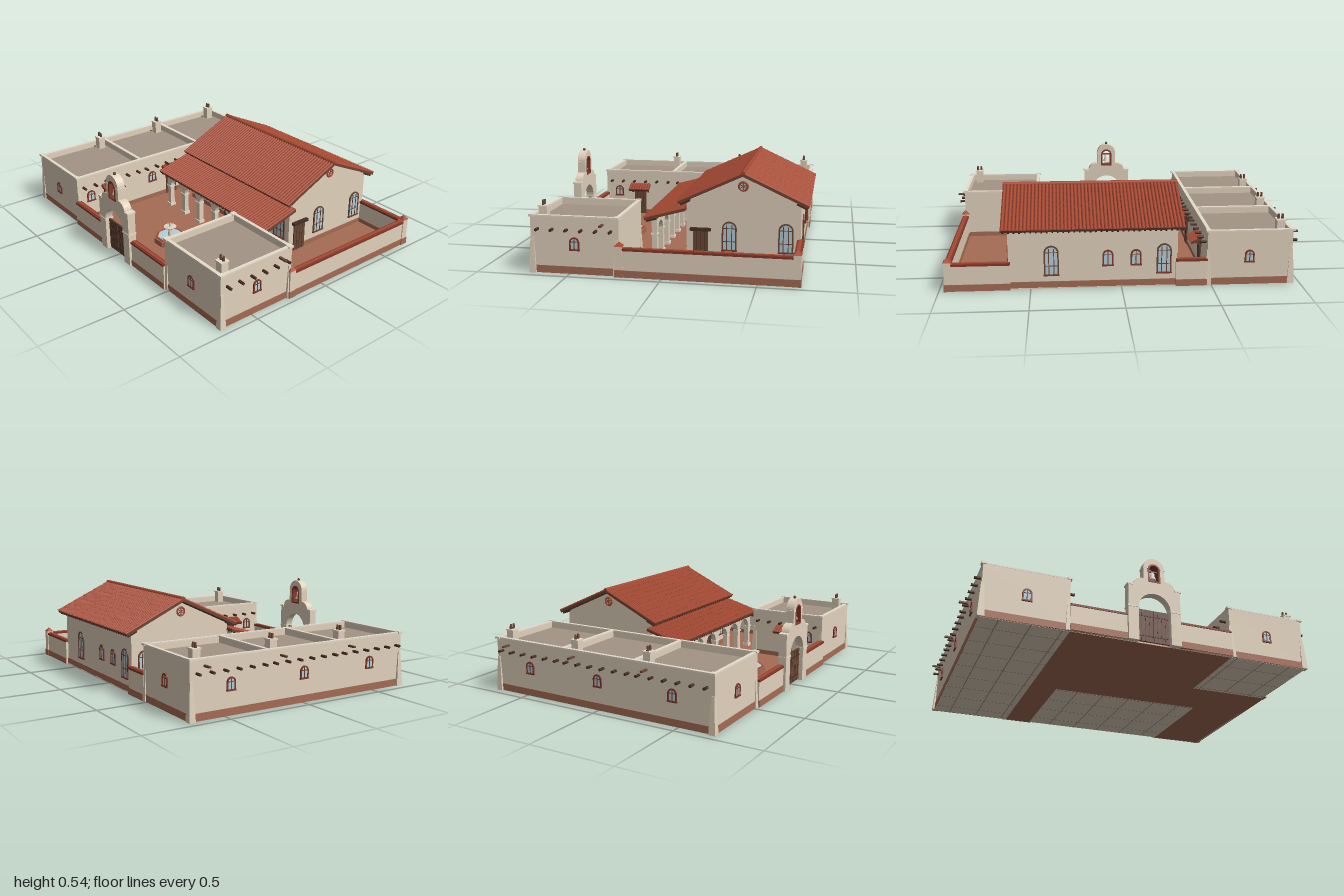
import * as THREE from 'three';
import { mergeGeometries } from 'three/addons/utils/BufferGeometryUtils.js';

const paint = (name, color, side = THREE.FrontSide) => {
  const m = new THREE.MeshStandardMaterial({ color, side });
  m.name = name;
  return m;
};

export function createModel() {
  const stucco = paint('stucco', 0xe2d3bd), pale = paint('pale coping', 0xe8dece);
  const flatRoof = paint('flat roof', 0xa39585), paving = paint('terracotta paving', 0xa66c54);
  const tile = paint('roof tile', 0xa64a33, THREE.DoubleSide), tileDark = paint('dark tile', 0x84382a);
  const wood = paint('wood', 0x6b4837), woodDark = paint('dark wood', 0x482f25);
  const glass = paint('pale blue glass', 0xb6d0da);
  const root = new THREE.Group();
  root.name = 'courtyardMission';

  const group = (parent, name, x = 0, y = 0, z = 0, ry = 0) => {
    const g = new THREE.Group();
    g.name = name;
    g.position.set(x, y, z);
    g.rotation.y = ry;
    parent.add(g);
    return g;
  };
  const add = (parent, name, geo, mat, x = 0, y = 0, z = 0) => {
    const m = new THREE.Mesh(geo, mat);
    m.name = name;
    m.position.set(x, y, z);
    parent.add(m);
    return m;
  };
  // Box placed by the middle of its underside
  const box = (parent, name, mat, w, h, d, x, y, z) =>
    add(parent, name, new THREE.BoxGeometry(w, h, d), mat, x, y + h / 2, z);
  const faceted = (geo) => {
    const g = geo.toNonIndexed();
    g.computeVertexNormals();
    return g;
  };
  const extrude = (shape, depth) =>
    new THREE.ExtrudeGeometry(shape, { depth, bevelEnabled: false, curveSegments: 10 });
  const archPath = (P, w, h, x = 0, y = 0) => {
    const p = new P();
    p.moveTo(x - w / 2, y);
    p.lineTo(x + w / 2, y);
    p.lineTo(x + w / 2, y + h - w / 2);
    p.absarc(x, y + h - w / 2, w / 2, 0, Math.PI, false);
    p.lineTo(x - w / 2, y);
    return p;
  };
  const rectPath = (P, w, d) => new P([[-1, -1], [1, -1], [1, 1], [-1, 1]]
    .map(([a, b]) => new THREE.Vector2(a * w / 2, b * d / 2)));
  const ring = (w, d, t, h) => {
    const s = rectPath(THREE.Shape, w, d);
    s.holes.push(rectPath(THREE.Path, w - 2 * t, d - 2 * t));
    return extrude(s, h).rotateX(-Math.PI / 2);
  };
  const model = group(root, 'mission', 0, 0.002, 0);

  // Tiled slope: top edge at the origin, falling towards +z
  function slope(parent, name, width, run, drop, x, y, z, ry, pitch = 0.02, course = 0.04) {
    const g = group(group(parent, name, x, y, z, ry), name + 'Pitch');
    g.rotation.x = Math.atan2(drop, run);
    const len = Math.hypot(run, drop), n = Math.round(width / pitch), rows = Math.round(len / course);
    const step = width / n, l = len / rows, parts = [];
    box(g, 'roofBoards', wood, width, 0.01, len, 0, -0.012, len / 2);
    box(g, 'tileBed', tileDark, width, 0.004, len, 0, -0.002, len / 2);
    for (let i = 0; i < n; i++) for (let j = 0; j < rows; j++) {
      const t = new THREE.CylinderGeometry(step * 0.38, step * 0.48, l * 1.1, 5, 1, true, -Math.PI / 2, Math.PI);
      t.rotateX(-Math.PI / 2).translate((i + 0.5) * step - width / 2, 0.002, (j + 0.5) * l);
      parts.push(t);
    }
    add(g, 'tiles', mergeGeometries(parts), tile);
    return { g, len };
  }
  const rafters = ({ g, len }, width, n) => {
    for (let i = 0; i < n; i++)
      box(g, 'rafterTail', woodDark, 0.01, 0.012, 0.06, -width / 2 + width * (i + 0.5) / n, -0.024, len - 0.035);
  };

  // Arched window, facing +z
  function windowUnit(parent, w, h, x, y, z, ry) {
    const g = group(parent, 'window', x, y, z, ry), large = h > 0.1;
    add(g, 'pane', extrude(archPath(THREE.Shape, w, h), 0.004), glass);
    const f = archPath(THREE.Shape, w + 0.012, h + 0.006);
    f.holes.push(archPath(THREE.Path, w - 0.004, h - 0.004, 0, 0.002));
    add(g, 'frame', extrude(f, 0.007), large ? wood : tileDark);
    for (const m of large ? [-w / 5, w / 5] : [0])
      box(g, 'mullion', wood, 0.005, large ? h * 0.93 : h, 0.006, m, 0, 0.003);
    for (const t of large ? [h * 0.3, h - w / 2] : [h - w / 2])
      box(g, 'transom', wood, w, 0.004, 0.006, 0, t, 0.003);
    box(g, 'sill', tileDark, w + 0.016, 0.007, 0.01, 0, -0.007, 0.004);
  }
  function door(parent, w, h, x, z, ry) {
    const g = group(parent, 'door', x, 0.01, z, ry);
    box(g, 'doorLeaf', wood, w, h, 0.008, 0, 0, 0.004);
    for (let i = -1; i < 2; i++) box(g, 'plankGap', woodDark, 0.003, h, 0.0095, i * w / 4, 0, 0.0045);
    box(g, 'lintel', woodDark, w + 0.03, 0.016, 0.024, 0, h, 0.01);
  }

  // Ground, with slab joints and paving also seen from below
  box(model, 'groundSlab', stucco, 1.9, 0.006, 1.41, 0, -0.001, 0);
  for (let i = 0; i < 11; i++) box(model, 'slabJoint', flatRoof, 0.006, 0.002, 1.41, -0.85 + i * 0.17, -0.0015, 0);
  for (let i = 0; i < 8; i++) box(model, 'slabJoint', flatRoof, 1.9, 0.002, 0.006, 0, -0.0015, -0.6 + i * 0.17);
  for (const [x0, x1, z0, z1] of [[-0.472, 0.472, 0.1, 0.705], [0.62, 0.95, -0.705, 0.228],
    [0.472, 0.62, 0.1, 0.228], [-0.472, -0.31, -0.705, 0.1], [-0.31, 0.62, -0.075, 0.1]])
    box(model, 'courtyardPaving', paving, x1 - x0, 0.014, z1 - z0, (x0 + x1) / 2, -0.002, (z0 + z1) / 2);

  // Flat-roofed rooms; inward is the direction of the courtyard along x
  function room(x, z, inward, chimneyZ, spoutZ) {
    const g = group(model, 'room', x, 0, z), w = 0.475, d = 0.484, H = 0.315;
    box(g, 'roomBody', stucco, w - 0.02, 0.27, d - 0.02, 0, 0, 0);
    box(g, 'roofDeck', flatRoof, w - 0.03, 0.006, d - 0.03, 0, 0.268, 0);
    add(g, 'parapet', ring(w, d, 0.017, H - 0.006), stucco);
    add(g, 'coping', ring(w + 0.006, d + 0.002, 0.02, 0.008), pale, 0, H - 0.008, 0);
    add(g, 'baseBand', ring(w + 0.006, d + 0.006, 0.01, 0.04), paving);
    for (let i = 0; i < 6; i++) for (const s of [-1, 1]) {
      const beam = add(g, 'roofBeam', new THREE.CylinderGeometry(0.008, 0.008, 0.05, 8), woodDark,
        s * (w / 2 + 0.01), 0.24, -0.2 + i * 0.08);
      beam.rotation.z = Math.PI / 2;
    }
    box(g, 'waterSpout', wood, 0.07, 0.01, 0.014, -inward * (w / 2 + 0.015), 0.27, spoutZ);
    const c = group(g, 'chimney', -inward * 0.178, 0.27, chimneyZ);
    box(c, 'chimneyStack', stucco, 0.045, 0.085, 0.045, 0, 0, 0);
    box(c, 'chimneyCap', pale, 0.052, 0.008, 0.052, 0, 0.08, 0);
    for (const s of [-1, 1])
      add(c, 'chimneyPot', new THREE.CylinderGeometry(0.006, 0.008, 0.03, 8), wood, s * 0.011, 0.1, 0);
    windowUnit(g, 0.042, 0.06, -inward * w / 2, 0.135, 0, -inward * Math.PI / 2);
    const ry = inward * Math.PI / 2;
    door(g, 0.08, 0.16, inward * w / 2, 0, ry);
    slope(g, 'doorAwning', 0.14, 0.065, 0.03, inward * w / 2, 0.22, 0, ry, 0.018, 0.03);
    for (const s of [-1, 1]) {
      const b = box(g, 'awningBracket', wood, 0.055, 0.008, 0.01, inward * (w / 2 + 0.022), 0.175, s * 0.055);
      b.rotation.z = inward * 0.6;
    }
    windowUnit(g, 0.045, 0.06, inward * w / 2, 0.14, 0.15, ry);
  }
  const buttress = (x, z) => {
    const geo = faceted(new THREE.CylinderGeometry(0.012, 0.027, 0.2, 4));
    add(model, 'buttress', geo.rotateY(Math.PI / 4), stucco, x, 0.1, z);
    box(model, 'cornerCap', pale, 0.03, 0.012, 0.03, x, 0.306, z);
  };
  for (const z of [-0.467, 0, 0.467]) room(-0.712, z, 1, -0.178, -0.155);
  room(0.712, 0.467, -1, 0.183, -0.155);
  for (const x of [-0.945, -0.48]) for (const z of [-0.7, 0.7]) buttress(x, z);
  for (const x of [0.945, 0.48]) for (const z of [0.238, 0.7]) buttress(x, z);
  for (const x of [-0.71, 0.71]) windowUnit(model, 0.042, 0.06, x, 0.135, 0.709, 0);
  windowUnit(model, 0.042, 0.06, -0.71, 0.135, -0.709, Math.PI);

  // Courtyard walls
  function wall(x0, x1, z0, z1) {
    const w = Math.max(x1 - x0, 0.03), d = Math.max(z1 - z0, 0.03), x = (x0 + x1) / 2, z = (z0 + z1) / 2;
    const e = w > d ? [0, 0.008] : [0.008, 0];
    box(model, 'courtyardWall', stucco, w, 0.145, d, x, 0, z);
    box(model, 'wallBase', paving, w + e[0], 0.038, d + e[1], x, 0, z);
    box(model, 'wallTiles', tileDark, w + e[0], 0.012, d + e[1], x, 0.143, z);
    box(model, 'wallRidge', tile, w > d ? w : 0.018, 0.006, w > d ? 0.018 : d, x, 0.153, z);
  }
  wall(-0.475, -0.15, 0.708, 0.708);
  wall(0.15, 0.475, 0.708, 0.708);
  wall(-0.475, -0.3, -0.7, -0.7);
  wall(0.61, 0.95, -0.7, -0.7);
  wall(0.948, 0.948, -0.7, 0.23);
  for (const z of [-0.7, 0.225]) {
    box(model, 'wallPost', stucco, 0.04, 0.165, 0.04, 0.948, 0, z);
    box(model, 'postBase', paving, 0.046, 0.04, 0.046, 0.948, 0, z);
    add(model, 'postCap', faceted(new THREE.CylinderGeometry(0.004, 0.032, 0.022, 4)).rotateY(Math.PI / 4),
      tile, 0.948, 0.176, z);
  }

  // Gabled hall
  const hall = group(model, 'hall');
  const gable = new THREE.Shape([[0.07, 0], [0.7, 0], [0.7, 0.345], [0.385, 0.492], [0.07, 0.345]]
    .map(([a, b]) => new THREE.Vector2(a, b)));
  add(hall, 'hallWalls', extrude(gable, 0.93).rotateY(Math.PI / 2), stucco, -0.31, 0, 0);
  box(hall, 'hallBase', paving, 0.938, 0.04, 0.638, 0.155, 0, -0.385);
  for (const [z, ry] of [[-0.384, 0], [-0.386, Math.PI]])
    rafters(slope(hall, 'hallRoof', 1.0, 0.357, 0.165, 0.155, 0.511, z, ry), 1.0, 34);
  const ridge = add(hall, 'ridgeTiles', new THREE.CylinderGeometry(0.013, 0.013, 1.0, 10), tile, 0.155, 0.514, -0.385);
  ridge.rotation.z = Math.PI / 2;
  const bays = [0, 1, 2, 3, 4, 5].map((i) => -0.235 + i * 0.155);
  for (const i of [0, 1, 3, 5]) windowUnit(hall, 0.08, 0.15, bays[i], 0.085, -0.07, 0);
  for (const i of [2, 4]) door(hall, 0.09, 0.18, bays[i], -0.07, 0);
  for (const i of [0, 4]) windowUnit(hall, 0.07, 0.16, bays[i], 0.08, -0.7, Math.PI);
  for (const i of [1, 2]) windowUnit(hall, 0.048, 0.08, bays[i], 0.13, -0.7, Math.PI);
  for (const [x, s] of [[0.62, 1], [-0.31, -1]]) {
    for (const z of [-0.31, -0.62]) windowUnit(hall, 0.07, 0.155, x, 0.08, z, s * Math.PI / 2);
    const r = group(hall, 'roundWindow', x, 0.44, -0.385, s * Math.PI / 2);
    add(r, 'roundPane', new THREE.CircleGeometry(0.024, 24), glass, 0, 0, 0.003);
    add(r, 'roundFrame', new THREE.TorusGeometry(0.0235, 0.006, 6, 24), tile, 0, 0, 0.002);
    for (let i = 0; i < 3; i++) {
      const spoke = add(r, 'spoke', new THREE.BoxGeometry(0.005, 0.046, 0.005), tile, 0, 0, 0.004);
      spoke.rotation.z = i * Math.PI / 3;
    }
  }
  door(hall, 0.085, 0.175, 0.62, -0.15, Math.PI / 2);

  // Arcaded porch
  const porch = group(model, 'porch');
  const arcade = new THREE.Shape();
  arcade.moveTo(-0.325, 0);
  for (const x of bays) {
    arcade.lineTo(x - 0.061, 0);
    arcade.lineTo(x - 0.061, 0.155);
    arcade.absarc(x, 0.155, 0.061, Math.PI, 0, true);
    arcade.lineTo(x + 0.061, 0);
  }
  [[0.63, 0], [0.63, 0.243], [-0.325, 0.243]].forEach(([x, y]) => arcade.lineTo(x, y));
  add(porch, 'arcade', extrude(arcade, 0.03), stucco, 0, 0, 0.095);
  for (let i = 0; i < 7; i++) {
    box(porch, 'pierBase', pale, 0.042, 0.03, 0.04, -0.3125 + i * 0.155, 0, 0.11);
    box(porch, 'pierCapital', pale, 0.04, 0.01, 0.038, -0.3125 + i * 0.155, 0.148, 0.11);
  }
  rafters(slope(porch, 'porchRoof', 1.035, 0.23, 0.063, 0.1525, 0.313, -0.07, 0), 1.035, 35);
  add(porch, 'lanternChain', new THREE.CylinderGeometry(0.002, 0.002, 0.04, 6), woodDark, bays[2], 0.265, 0.03);
  add(porch, 'lantern', new THREE.CylinderGeometry(0.004, 0.012, 0.028, 6), pale, bays[2], 0.24, 0.03);

  // Entrance gate with bell tower
  const gate = group(model, 'gate', 0, 0, 0.69);
  const g = new THREE.Shape();
  g.moveTo(-0.095, 0);
  g.lineTo(-0.095, 0.2);
  g.absarc(0, 0.2, 0.095, Math.PI, 0, true);
  g.lineTo(0.095, 0);
  g.lineTo(0.155, 0);
  g.lineTo(0.155, 0.335);
  g.lineTo(0.125, 0.335);
  g.quadraticCurveTo(0.12, 0.382, 0.063, 0.385);
  g.lineTo(0.063, 0.457);
  g.absarc(0, 0.457, 0.063, 0, Math.PI, false);
  g.lineTo(-0.063, 0.385);
  g.quadraticCurveTo(-0.12, 0.382, -0.125, 0.335);
  g.lineTo(-0.155, 0.335);
  g.lineTo(-0.155, 0);
  g.holes.push(archPath(THREE.Path, 0.056, 0.1, 0, 0.375));
  add(gate, 'gateWall', extrude(g, 0.048), stucco);
  const trim = archPath(THREE.Shape, 0.074, 0.117, 0, 0.367);
  trim.holes.push(archPath(THREE.Path, 0.054, 0.098, 0, 0.376));
  add(gate, 'bellTrim', extrude(trim, 0.054), tileDark, 0, 0, -0.003);
  for (const s of [-1, 1]) {
    box(gate, 'impost', pale, 0.066, 0.01, 0.054, s * 0.125, 0.195, 0.024);
    box(gate, 'shoulderCoping', pale, 0.036, 0.01, 0.054, s * 0.142, 0.33, 0.024);
    box(gate, 'towerBand', pale, 0.03, 0.006, 0.052, s * 0.052, 0.452, 0.024);
    const leaf = group(gate, 'gateLeaf', s * 0.0475, 0.008, 0.02);
    box(leaf, 'gatePanel', wood, 0.092, 0.192, 0.01, 0, 0, 0);
    for (let i = -1; i < 2; i++) box(leaf, 'gateBoardGap', woodDark, 0.003, 0.192, 0.012, i * 0.023, 0, 0);
    for (const y of [0.03, 0.15]) box(leaf, 'ironStrap', woodDark, 0.088, 0.007, 0.015, 0, y, 0);
  }
  add(gate, 'finial', new THREE.SphereGeometry(0.009, 10, 8), wood, 0, 0.526, 0.024);
  const bell = [[0.001, 0.05], [0.009, 0.047], [0.012, 0.025], [0.021, 0.002], [0.019, 0], [0.001, 0.004]]
    .reverse().map(([x, y]) => new THREE.Vector2(x, y));
  add(gate, 'bell', new THREE.LatheGeometry(bell, 16), pale, 0, 0.395, 0.024);
  box(gate, 'bellYoke', wood, 0.056, 0.008, 0.01, 0, 0.443, 0.024);

  // Octagonal fountain
  const fountain = group(model, 'fountain', 0.075, 0.01, 0.395);
  const octagon = (r, h) => faceted(new THREE.CylinderGeometry(r, r, h, 8)).rotateY(Math.PI / 8);
  add(fountain, 'basin', octagon(0.1, 0.035), paving, 0, 0.0175, 0);
  add(fountain, 'basinRim', octagon(0.092, 0.004), tile, 0, 0.036, 0);
  add(fountain, 'basinWater', octagon(0.077, 0.004), glass, 0, 0.038, 0);
  add(fountain, 'pedestal', new THREE.CylinderGeometry(0.01, 0.015, 0.05, 12), stucco, 0, 0.06, 0);
  add(fountain, 'bowl', new THREE.CylinderGeometry(0.038, 0.014, 0.018, 20), pale, 0, 0.09, 0);
  add(fountain, 'bowlWater', new THREE.CylinderGeometry(0.031, 0.031, 0.002, 20), stucco, 0, 0.0995, 0);
  add(fountain, 'spout', new THREE.CylinderGeometry(0.004, 0.008, 0.025, 10), glass, 0, 0.11, 0);
  return root;
}
